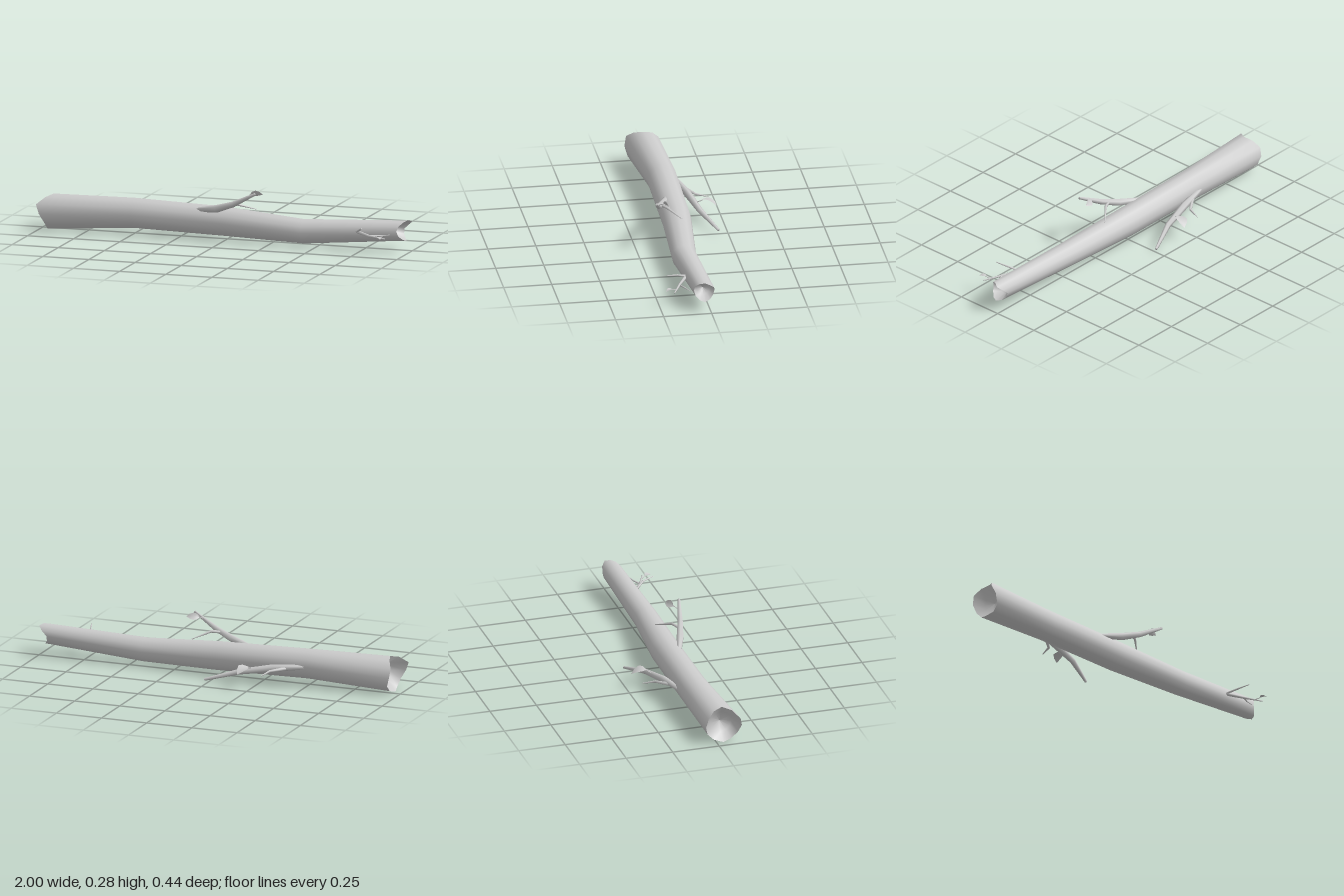
import * as THREE from 'three';

const V = (x, y, z) => new THREE.Vector3(x, y, z);
const bark = new THREE.MeshStandardMaterial({ color: 0xcccccc });
const foliage = new THREE.MeshStandardMaterial({ color: 0xcccccc, side: THREE.DoubleSide });

// Skin a list of point rows; closed rows wrap round into tubes
function loft(rows, closed) {
  const n = rows[0].length, index = [];
  for (let i = 0; i < rows.length - 1; i++) {
    for (let j = 0; j < (closed ? n : n - 1); j++) {
      const k = (j + 1) % n;
      const a = i * n + j, b = i * n + k, c = a + n, d = b + n;
      index.push(a, c, b, b, c, d);
    }
  }
  const geo = new THREE.BufferGeometry().setFromPoints(rows.flat());
  geo.setIndex(index);
  geo.computeVertexNormals();
  return geo;
}

function part(name, geo, material = bark) {
  const mesh = new THREE.Mesh(geo, material);
  mesh.name = name;
  return mesh;
}

// Tapered limb through [x, y, z, radius] stations, closed at both ends
function limb(name, stations, sides = 6) {
  const c = stations.map(([x, y, z]) => V(x, y, z));
  const last = c.length - 1;
  const rows = c.map((p, i) => {
    const t = c[Math.min(i + 1, last)].clone().sub(c[Math.max(i - 1, 0)]).normalize();
    const u = V(0, 1, 0).addScaledVector(t, -t.y).normalize();
    const v = u.clone().cross(t);
    return Array.from({ length: sides }, (_, j) => {
      const a = (j / sides) * Math.PI * 2, r = stations[i][3];
      return p.clone().addScaledVector(u, r * Math.cos(a)).addScaledVector(v, r * Math.sin(a));
    });
  });
  const cap = (p) => Array.from({ length: sides }, () => p.clone());
  return part(name, loft([cap(c[0]), ...rows, cap(c[last])], true));
}

// Arched pointed leaf, creased along the midrib
function leaf(name, base, tip, side, width, arch) {
  const b = V(...base), along = V(...tip).sub(b);
  const s = V(...side).normalize();
  const up = s.clone().cross(along).normalize();
  if (up.y < 0) up.negate();
  const rows = [0, 0.2, 0.45, 0.75, 1].map((t, i) => {
    const w = [0.03, 0.75, 1, 0.65, 0][i] * width / 2;
    const mid = b.clone().addScaledVector(along, t).addScaledVector(up, arch * Math.sin(Math.PI * t));
    return [-1, 0, 1].map((k) =>
      mid.clone().addScaledVector(s, k * w).addScaledVector(up, Math.abs(k) * w * 0.25));
  });
  return part(name, loft(rows, false), foliage);
}

function createTrunk() {
  const trunk = new THREE.Group();
  trunk.name = 'trunk';
  // Broken rims: x of each rim point, starting at the front and going over the top
  const rimLeft = [-0.98, -1.0, -0.96, -0.93, -0.945, -0.965, -0.96, -0.945, -0.945, -0.96, -0.95, -0.955];
  const rimRight = [0.94, 0.95, 0.97, 0.985, 1.0, 0.98, 0.95, 0.95, 0.965, 0.98, 0.97, 0.95];
  const ring = (xs, y, z, r) => rimLeft.map((_, j) => {
    const a = (j / rimLeft.length) * Math.PI * 2;
    return V(Array.isArray(xs) ? xs[j] : xs, y + r * Math.sin(a), z + r * Math.cos(a));
  });
  const left = ring(rimLeft, 0.093, 0.035, 0.093);
  const right = ring(rimRight, 0.11, 0.03, 0.053);
  trunk.add(part('bark', loft([
    left,
    ring(-0.5, 0.107, 0.01, 0.079),
    ring(0, 0.095, 0.018, 0.077),
    ring(0.43, 0.076, 0.05, 0.064),
    right,
  ], true)));
  // Hollow ends
  trunk.add(part('hollowEndLeft', loft([
    ring(-0.89, 0.093, 0.035, 0),
    ring(-0.91, 0.093, 0.035, 0.055),
    left,
  ], true)));
  trunk.add(part('hollowEndRight', loft([
    right,
    ring(0.92, 0.108, 0.031, 0.033),
    ring(0.9, 0.107, 0.032, 0),
  ], true)));
  return trunk;
}

export function createModel() {
  const model = new THREE.Group();
  model.name = 'fallenLog';
  model.add(createTrunk());

  // Upper front branch
  const upper = new THREE.Group();
  upper.name = 'upperBranch';
  upper.add(
    limb('branch', [[-0.16, 0.15, 0.045, 0.012], [-0.03, 0.172, 0.09, 0.02], [0.07, 0.207, 0.122, 0.015], [0.2, 0.274, 0.155, 0.007]]),
    limb('twig', [[0.02, 0.195, 0.11, 0.009], [0.08, 0.2, 0.08, 0.007], [0.16, 0.168, 0.015, 0.002]]),
    limb('leafStem', [[0.14, 0.245, 0.14, 0.003], [0.165, 0.26, 0.112, 0.002]], 4),
    leaf('leaf', [0.155, 0.26, 0.113], [0.222, 0.262, 0.092], [0.15, 0.8, 0.5], 0.04, 0.006),
  );

  // Back branch
  const back = new THREE.Group();
  back.name = 'backBranch';
  back.add(
    limb('branch', [[-0.5, 0.105, -0.055, 0.012], [-0.33, 0.092, -0.093, 0.02], [-0.16, 0.065, -0.132, 0.015], [0.005, 0.024, -0.2, 0.007]]),
    limb('twig', [[-0.4, 0.095, -0.085, 0.01], [-0.33, 0.085, -0.135, 0.007], [-0.31, 0.075, -0.2, 0.002]]),
    limb('leafStem', [[-0.23, 0.08, -0.115, 0.003], [-0.215, 0.1, -0.152, 0.002]], 4),
    leaf('leaf', [-0.218, 0.103, -0.148], [-0.185, 0.074, -0.222], [0.9, 0.2, 0.4], 0.06, 0.012),
  );

  // Small branch near the thin end
  const small = new THREE.Group();
  small.name = 'smallBranch';
  small.add(
    limb('branch', [[0.69, 0.105, 0.07, 0.006], [0.75, 0.097, 0.1, 0.009], [0.81, 0.09, 0.135, 0.007], [0.91, 0.088, 0.178, 0.003]]),
    limb('twig', [[0.73, 0.1, 0.09, 0.006], [0.77, 0.125, 0.14, 0.005], [0.79, 0.135, 0.2, 0.002]]),
    limb('sideTwig', [[0.82, 0.09, 0.135, 0.005], [0.86, 0.09, 0.115, 0.004], [0.91, 0.095, 0.1, 0.002]]),
    limb('leafStem', [[0.87, 0.089, 0.162, 0.003], [0.885, 0.097, 0.185, 0.002]], 4),
    leaf('leaf', [0.883, 0.097, 0.182], [0.9, 0.093, 0.221], [0.9, 0.1, -0.4], 0.032, 0.006),
  );

  model.add(upper, back, small);
  return model;
}
